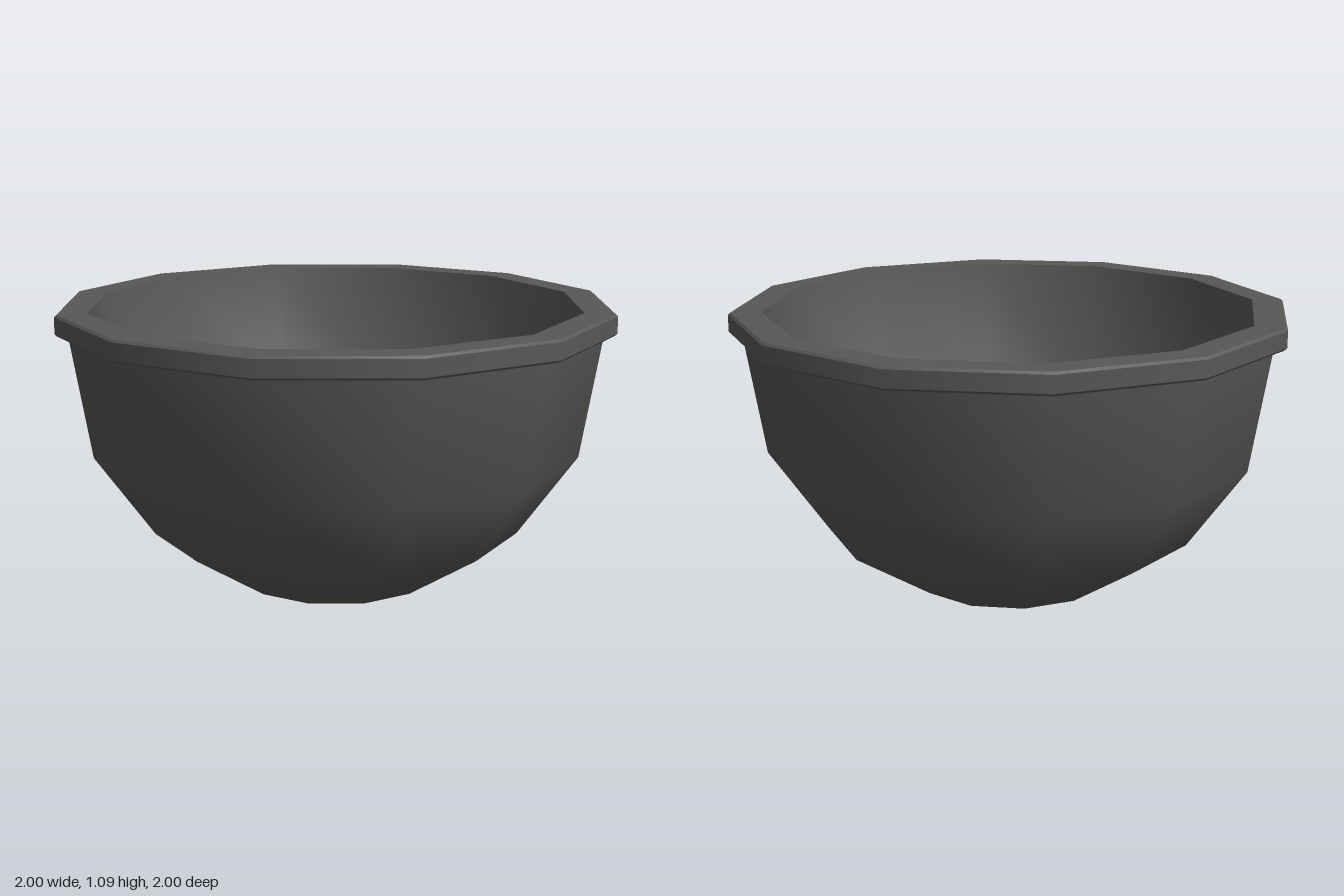
import * as THREE from 'three';

const rad = THREE.MathUtils.degToRad;

function lathe(name, points, segments, material) {
  const profile = points.map(([r, y]) => new THREE.Vector2(r, y));
  const mesh = new THREE.Mesh(new THREE.LatheGeometry(profile, segments), material);
  mesh.name = name;
  return mesh;
}

export function createModel() {
  const model = new THREE.Group();
  model.name = 'bowlOfNuts';

  const stone = new THREE.MeshStandardMaterial({ name: 'darkStone', color: 0x5a5856 });
  const cream = new THREE.MeshStandardMaterial({ name: 'cream', color: 0xe2d9cd });
  const brown = new THREE.MeshStandardMaterial({ name: 'nutBrown', color: 0xc98a5e });

  // Twelve-sided bowl: smooth outside and inside walls
  const sides = 12;
  const bowl = new THREE.Group();
  bowl.name = 'bowl';
  bowl.add(lathe('outerWall',
    [[0, 0], [0.37, 0.07], [0.675, 0.27], [0.885, 0.57], [0.955, 1.01]], sides, stone));
  bowl.add(lathe('innerWall',
    [[0.885, 1.085], [0.81, 0.6], [0.615, 0.34], [0.34, 0.18], [0, 0.12]], sides, stone));

  // Rim as separate bands, so that its edges stay sharp
  const rim = [[0.95, 1.01], [0.992, 1.01], [1, 1.018], [1, 1.077], [0.992, 1.085], [0.885, 1.085]];
  for (let i = 0; i < rim.length - 1; i++) {
    bowl.add(lathe('rimBand', [rim[i], rim[i + 1]], sides, stone));
  }
  model.add(bowl);

  // Round centre resting on a thin lip
  const dome = new THREE.Mesh(
    new THREE.SphereGeometry(0.332, 32, 12, 0, Math.PI * 2, 0, Math.PI / 2), cream);
  dome.name = 'centreDome';
  dome.position.y = 0.255;
  const base = new THREE.Mesh(new THREE.CylinderGeometry(0.347, 0.347, 0.08, 48), cream);
  base.name = 'domeBase';
  base.position.y = 0.215;
  model.add(dome, base);

  // Ring of nuts: x, z and turn in degrees
  const nuts = [
    [-0.26, -0.33, 54], [0.1, -0.375, 13], [0.375, -0.16, -49],
    [0.365, 0.315, 33], [-0.317, 0.357, 46], [-0.34, 0.025, 0],
  ];
  const nutShape = new THREE.SphereGeometry(1, 24, 16).scale(0.2, 0.125, 0.125);
  for (const [x, z, turn] of nuts) {
    const nut = new THREE.Mesh(nutShape, brown);
    nut.name = 'nut';
    nut.position.set(x, 0.4, z);
    nut.rotation.y = rad(turn);
    model.add(nut);
  }
  return model;
}
